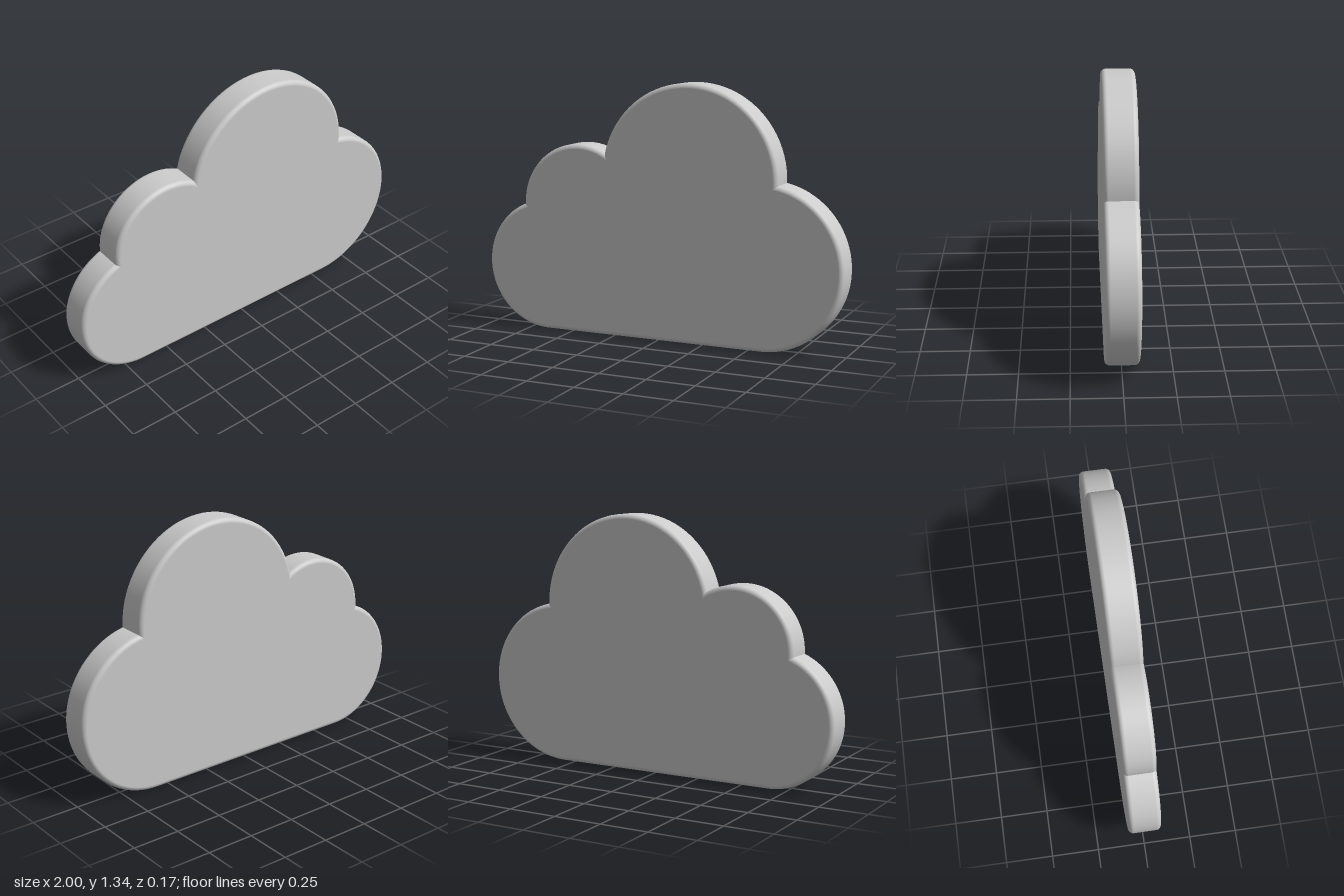
import * as THREE from 'three';

// Puffs of the cloud, counter-clockwise from the right: centre and radius
const PUFFS = [
  { x: 0.57, y: 0.43, r: 0.43 },
  { x: 0.17, y: 0.86, r: 0.485 },
  { x: -0.455, y: 0.685, r: 0.325 },
  { x: -0.65, y: 0.35, r: 0.35 },
];
const HALF = 0.085;   // half thickness
const ROUND = 0.025;  // edge rounding
const ARC_STEPS = 40;
const EDGE_STEPS = 6;

// Outer meeting point of two neighbouring puffs, both shrunk by inset
function meet(a, b, inset) {
  const ra = a.r - inset, rb = b.r - inset;
  const dx = b.x - a.x, dy = b.y - a.y, d = Math.hypot(dx, dy);
  const t = (d * d + ra * ra - rb * rb) / (2 * d);
  const h = Math.sqrt(Math.max(0, ra * ra - t * t));
  return { x: a.x + (dx * t + dy * h) / d, y: a.y + (dy * t - dx * h) / d };
}

// Outline at an inset: one list of { x, y, angle } per puff, plus the flat base
function outline(inset) {
  const runs = PUFFS.map((p, i) => {
    const angleTo = (q) => Math.atan2(q.y - p.y, q.x - p.x);
    const start = i === 0 ? -Math.PI / 2 : angleTo(meet(PUFFS[i - 1], p, inset));
    let end = i === PUFFS.length - 1 ? Math.PI * 1.5 : angleTo(meet(p, PUFFS[i + 1], inset));
    if (end < start) end += Math.PI * 2;
    return Array.from({ length: ARC_STEPS + 1 }, (_, k) => {
      const angle = start + ((end - start) * k) / ARC_STEPS;
      const r = p.r - inset;
      return { x: p.x + r * Math.cos(angle), y: p.y + r * Math.sin(angle), angle };
    });
  });
  const base = [PUFFS[3], PUFFS[0]].map((p) => ({ x: p.x, y: inset, angle: -Math.PI / 2 }));
  return [...runs, base];
}

// Rim section from back to front: inset, depth and tilt of the normal
const section = [];
for (const side of [-1, 1]) {
  for (let k = 0; k <= EDGE_STEPS; k++) {
    const step = side < 0 ? EDGE_STEPS - k : k;
    const tilt = (side * step * Math.PI) / (2 * EDGE_STEPS);
    section.push({
      inset: ROUND * (1 - Math.cos(tilt)),
      z: side * (HALF - ROUND) + ROUND * Math.sin(tilt),
      tilt,
    });
  }
}

// Rim strip along one run of the outline, smooth inside and creased at its ends
function rimGeometry(run) {
  const positions = [], normals = [], index = [];
  let n = 0;
  section.forEach(({ inset, z, tilt }, row) => {
    const points = outline(inset)[run];
    n = points.length;
    points.forEach(({ x, y, angle }, k) => {
      positions.push(x, y, z);
      normals.push(Math.cos(angle) * Math.cos(tilt), Math.sin(angle) * Math.cos(tilt), Math.sin(tilt));
      if (row > 0 && k > 0) {
        const d = row * n + k, c = d - 1, b = d - n, a = b - 1;
        index.push(a, b, d, a, d, c);
      }
    });
  });
  const geometry = new THREE.BufferGeometry();
  geometry.setAttribute('position', new THREE.Float32BufferAttribute(positions, 3));
  geometry.setAttribute('normal', new THREE.Float32BufferAttribute(normals, 3));
  geometry.setIndex(index);
  return geometry;
}

export function createModel() {
  const cloud = new THREE.Group();
  cloud.name = 'cloud';
  const material = new THREE.MeshStandardMaterial({ color: 0xcccccc });
  const add = (name, geometry) => {
    const mesh = new THREE.Mesh(geometry, material);
    mesh.name = name;
    cloud.add(mesh);
    return mesh;
  };

  // Rounded rim
  ['rightPuffRim', 'topPuffRim', 'smallPuffRim', 'leftPuffRim', 'baseRim']
    .forEach((name, run) => add(name, rimGeometry(run)));

  // Flat front and back faces, each run without its shared last point
  const points = outline(ROUND).slice(0, 4)
    .flatMap((run, i) => (i < 3 ? run.slice(0, -1) : run))
    .map(({ x, y }) => new THREE.Vector2(x, y));
  const face = new THREE.ShapeGeometry(new THREE.Shape(points));
  add('frontFace', face).position.z = HALF;

  // The back face has its winding and normals reversed
  const back = face.clone();
  back.setIndex(Array.from(face.index.array).reverse());
  back.attributes.normal.array.forEach((v, i, all) => { all[i] = -v; });
  add('backFace', back).position.z = -HALF;

  return cloud;
}
